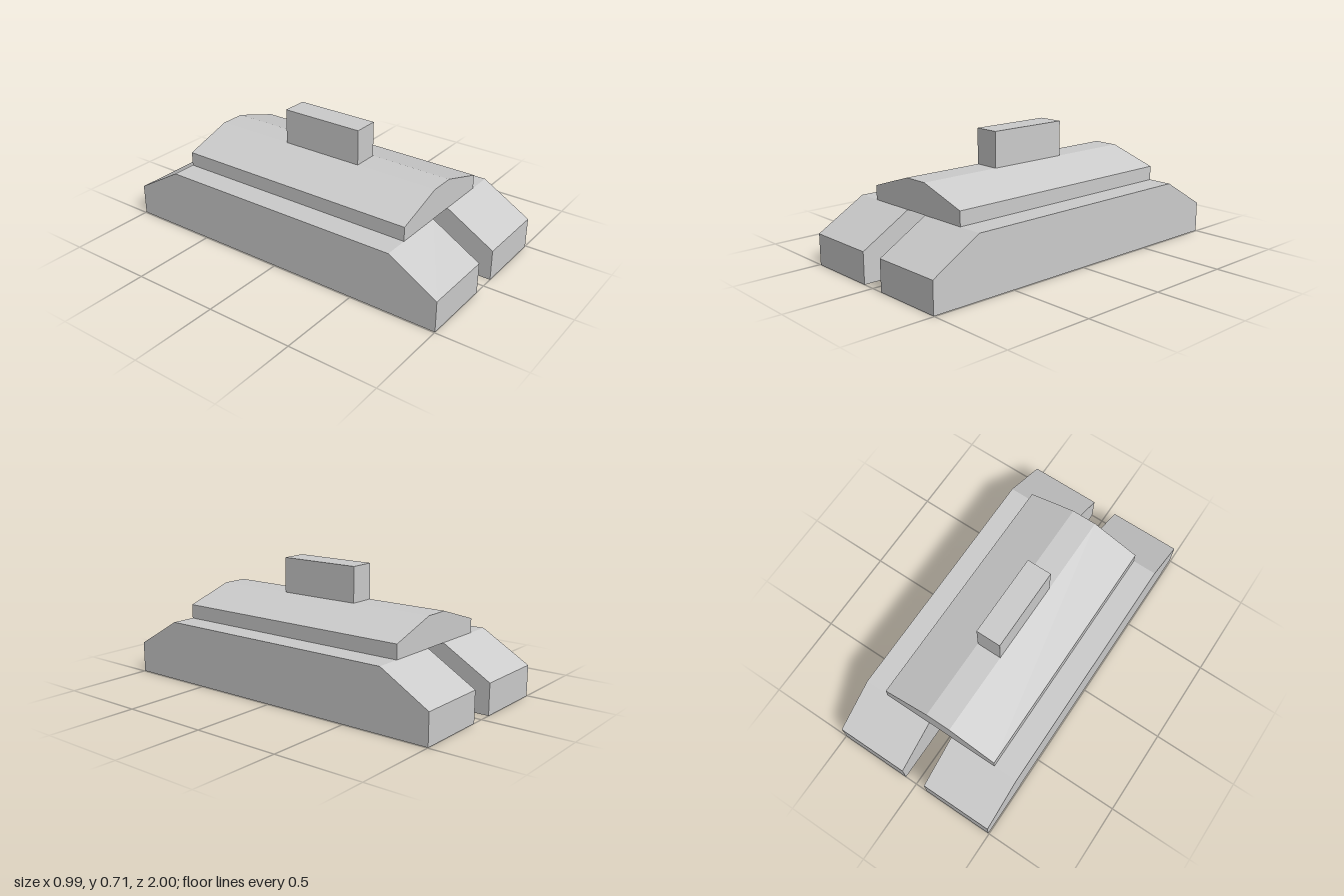
import * as THREE from 'three';

const material = new THREE.MeshStandardMaterial({ color: 0xcccccc, flatShading: true });

// Extrudes a profile that mirrors across its vertical axis, centred in depth
function prism(halfProfile, depth) {
  const mirrored = halfProfile.map(([x, y]) => [-x, y]).reverse();
  const shape = new THREE.Shape([...halfProfile, ...mirrored].map(([x, y]) => new THREE.Vector2(x, y)));
  return new THREE.ExtrudeGeometry(shape, { depth, bevelEnabled: false }).translate(0, 0, -depth / 2);
}

function addPart(group, name, geometry, x = 0, y = 0) {
  const mesh = new THREE.Mesh(geometry, material);
  mesh.name = name;
  mesh.position.set(x, y, 0);
  group.add(mesh);
}

export function createModel() {
  const model = new THREE.Group();
  model.name = 'model';

  // Two long side blocks with sloped ends
  const inner = 0.073, outer = 0.495;
  const block = prism([[1, 0], [1, 0.175], [0.72, 0.34]], outer - inner).rotateY(Math.PI / 2);
  for (const [name, side] of [['leftBlock', 1], ['rightBlock', -1]]) {
    addPart(model, name, block, side * (inner + outer) / 2);
  }

  // Deck bridging the blocks, with a sloped roof and flat ridge
  addPart(model, 'deck', prism([[0.354, 0.34], [0.354, 0.42], [inner, 0.51]], 1.44));

  // Upright block on the ridge
  addPart(model, 'ridgeBlock', new THREE.BoxGeometry(inner * 2, 0.2, 0.486), 0, 0.61);

  return model;
}
